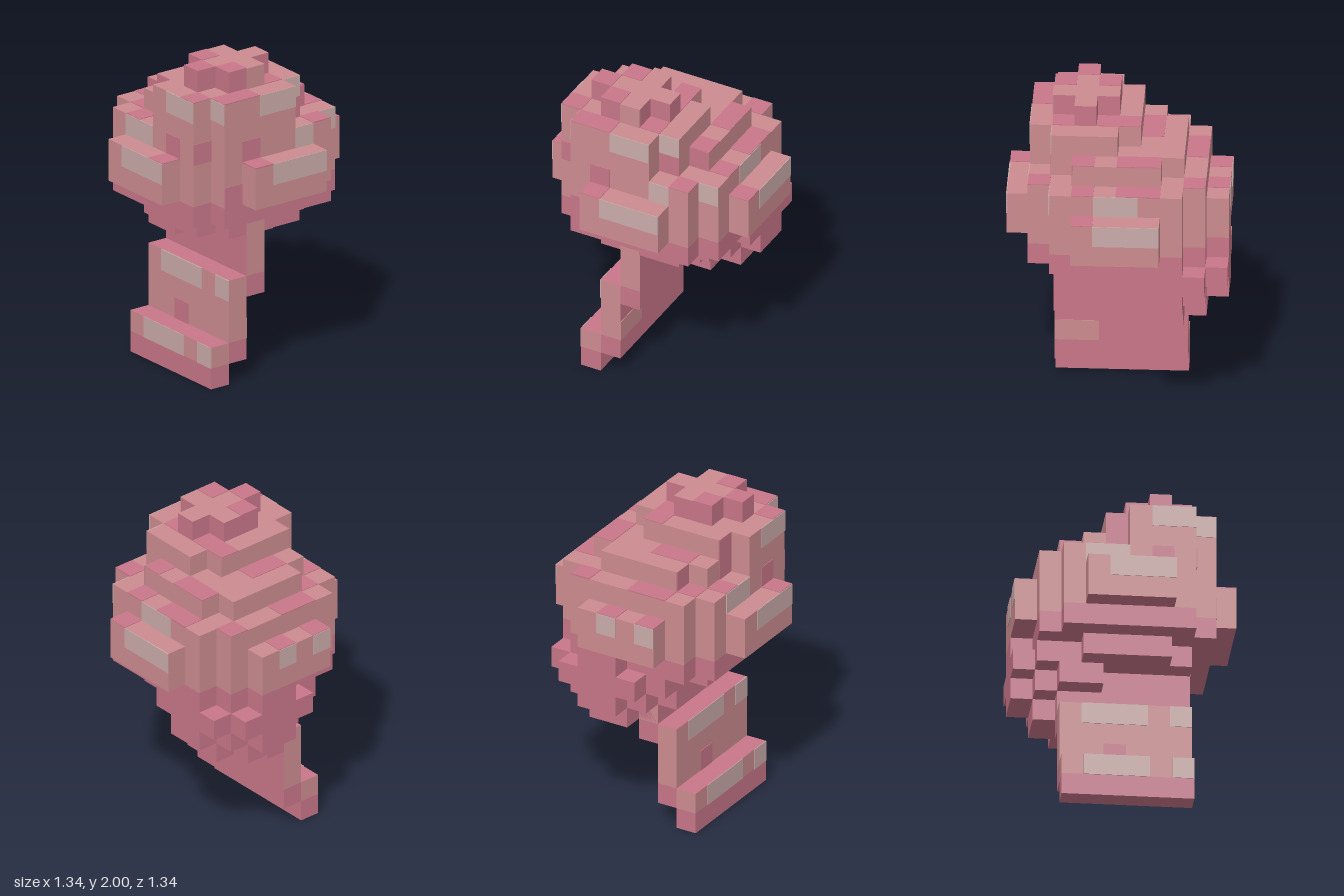
import * as THREE from 'three';

const U = 2 / 15; // one block

export function createModel() {
  const model = new THREE.Group();
  const mat = (name, color) => {
    const m = new THREE.MeshStandardMaterial({ color });
    m.name = name;
    return m;
  };
  const salmon = mat('salmon', 0xcc8c90);
  const pink = mat('pink', 0xc87689);
  const pale = mat('pale', 0xcaaba9);

  const add = (name, geometry, material) => {
    const mesh = new THREE.Mesh(geometry, material);
    mesh.name = name;
    model.add(mesh);
    return mesh;
  };

  // Flat layer with staircase-cut corners, sizes in blocks
  function slab(name, x0, x1, z0, z1, y0, y1, cut, cap, side) {
    const cx = (x0 + x1) / 2, cz = (z0 + z1) / 2, hx = (x1 - x0) / 2, hz = (z1 - z0) / 2;
    const corner = [[hx, hz - cut]];
    for (let i = 1; i <= cut; i++) corner.push([hx - i, hz - cut + i - 1], [hx - i, hz - cut + i]);
    const pts = [];
    [[1, 1], [-1, 1], [-1, -1], [1, -1]].forEach(([sx, sz]) => {
      const list = sx * sz > 0 ? corner : [...corner].reverse();
      list.forEach(([a, b]) => pts.push(new THREE.Vector2((cx + sx * a) * U, -(cz + sz * b) * U)));
    });
    const geo = new THREE.ExtrudeGeometry(new THREE.Shape(pts), { depth: (y1 - y0) * U, bevelEnabled: false });
    geo.rotateX(-Math.PI / 2).translate(0, y0 * U, 0);
    return add(name, geo, [cap, side]);
  }

  function block(name, x0, x1, y0, y1, z0, z1, material) {
    const geo = new THREE.BoxGeometry((x1 - x0) * U, (y1 - y0) * U, (z1 - z0) * U);
    geo.translate((x0 + x1) / 2 * U, (y0 + y1) / 2 * U, (z0 + z1) / 2 * U);
    return add(name, geo, material);
  }

  // Thin painted plates; 'x': [z0,z1,y0,y1], 'y': [x0,x1,z0,z1], 'z': [x0,x1,y0,y1]
  const T = 0.03;
  function plates(axis, plane, material, list) {
    for (const [a, b, c, d] of list) {
      const p = plane - T, q = plane + T;
      if (axis === 'x') block('sidePatch', p, q, c, d, a, b, material);
      else if (axis === 'y') block('topPatch', a, b, p, q, c, d, material);
      else block('facePatch', a, b, c, d, p, q, material);
    }
  }

  // Stepped ribbon hanging below (materials: +x, -x, top, bottom, front, back)
  const ribbon = (s, top, front, back) => [s, s, top, pink, front, back];
  block('ribbonTip', -3, 3, 0, 1, 2, 3, pink);
  block('ribbonFold', -3, 3, 1, 2, 2, 3, ribbon(salmon, pink, salmon, pink));
  block('ribbonLowerStep', -3, 3, 1, 2, 1, 2, pink);
  block('ribbonMiddle', -3, 3, 2, 5, 1, 2, ribbon(salmon, pink, salmon, pink));
  block('ribbonUpperStep', -3, 3, 4, 5, 0, 1, pink);
  block('ribbonTop', -3, 3, 5, 7, 0, 1, ribbon(salmon, pink, pink, pink));

  // Round knob at the back
  slab('knobBottom', -4, 0, -3, 1, 5, 6, 1, pink, pink);
  slab('knobLower', -5, 1, -4, 2, 6, 7, 2, pink, pink);
  slab('knobMiddle', -5, 1, -4, 2, 7, 8, 1, pink, pink);
  slab('knobUpper', -5, 1, -4, 2, 8, 9, 2, pink, pink);

  // Main dome
  slab('domeBase', -3, 3, -3, 3, 7, 8, 1, pink, pink);
  slab('domeRim', -4, 4, -4, 4, 8, 9, 1, pink, pink);
  slab('dome', -4, 4, -4, 4, 9, 12, 1, salmon, salmon);
  slab('domeCap', -3, 3, -3, 3, 12, 13, 1, salmon, salmon);
  slab('crown', -1, 4, -2, 4, 12, 14, 1, salmon, salmon);
  slab('crownTop', 0, 3, -1, 3, 14, 15, 1, salmon, pink);

  // Raised bars on the four sides
  const bar = [salmon, salmon, salmon, pink, salmon, salmon];
  for (const s of [-1, 1]) {
    const lo = Math.min(4 * s, 5 * s), hi = lo + 1;
    block('faceBar', -2, 2, 9, 11, lo, hi, bar);
    block('sideBar', lo, hi, 9, 11, -2, 2, bar);
  }

  // Front patches
  plates('z', 4, pale, [[1, 3, 13, 14], [-2, 0, 11, 12]]);
  plates('z', 3, pale, [[3, 4, 13, 14], [-2, 1, 1, 2], [2, 3, 1, 2]]);
  plates('z', 5, pale, [[-1, 2, 10, 11]]);
  plates('z', 2, pale, [[-2, 1, 4, 5], [2, 3, 4, 5]]);
  plates('z', 4, pink, [[1, 2, 11, 12]]);
  plates('z', 2, pink, [[-1, 0, 2, 3], [-3, -2, 12, 13]]);
  plates('z', 3, pink, [[-1, 0, 12, 14]]);

  // Right-hand patches
  plates('x', 4, pale, [[-1, 1, 13, 14], [-2, -1, 11, 12]]);
  plates('x', 3, pale, [[-2, -1, 13, 14], [-4, -3, 11, 12]]);
  plates('x', 5, pale, [[-2, 1, 10, 11]]);
  plates('x', 4, pink, [[1, 2, 11, 12], [2, 3, 9, 10]]);
  plates('x', 3, pink, [[3, 4, 11, 12], [-2, -1, 12, 13]]);
  plates('x', 2, pink, [[-3, -2, 12, 13]]);
  plates('x', 3, salmon, [[0, 1, 7, 8], [0, 1, 14, 15]]);

  // Back and left patches
  plates('z', -5, pale, [[-2, 1, 10, 11]]);
  plates('z', -4, pale, [[-1, 1, 11, 12]]);
  plates('z', 1, salmon, [[1, 3, 2, 3]]);
  plates('x', -5, pale, [[-1, 0, 10, 11], [1, 2, 10, 11]]);
  plates('x', -3, salmon, [[0, 1, 7, 8]]);

  // Top patches
  plates('y', 15, pink, [[0, 1, 1, 2], [2, 3, 1, 2], [1, 2, 2, 3]]);
  plates('y', 14, pink, [[-1, 1, -1, 0], [2, 3, -1, 0], [3, 4, 1, 3], [2, 3, 3, 4]]);
  plates('y', 13, pink, [[-2, -1, 0, 2], [-2, 0, -3, -2], [1, 2, -3, -2]]);
  plates('y', 12, pink, [[-2, 0, -4, -3], [1, 2, -4, -3], [-4, -3, -3, -2], [3, 4, -3, -2],
    [-4, -3, 0, 2], [-3, -2, 2, 3], [-2, -1, 3, 4]]);
  plates('y', 11, pink, [[1, 2, 4, 5], [1, 2, -5, -4], [4, 5, 1, 2], [-5, -4, 1, 2], [-5, -4, -1, 0]]);

  return model;
}
